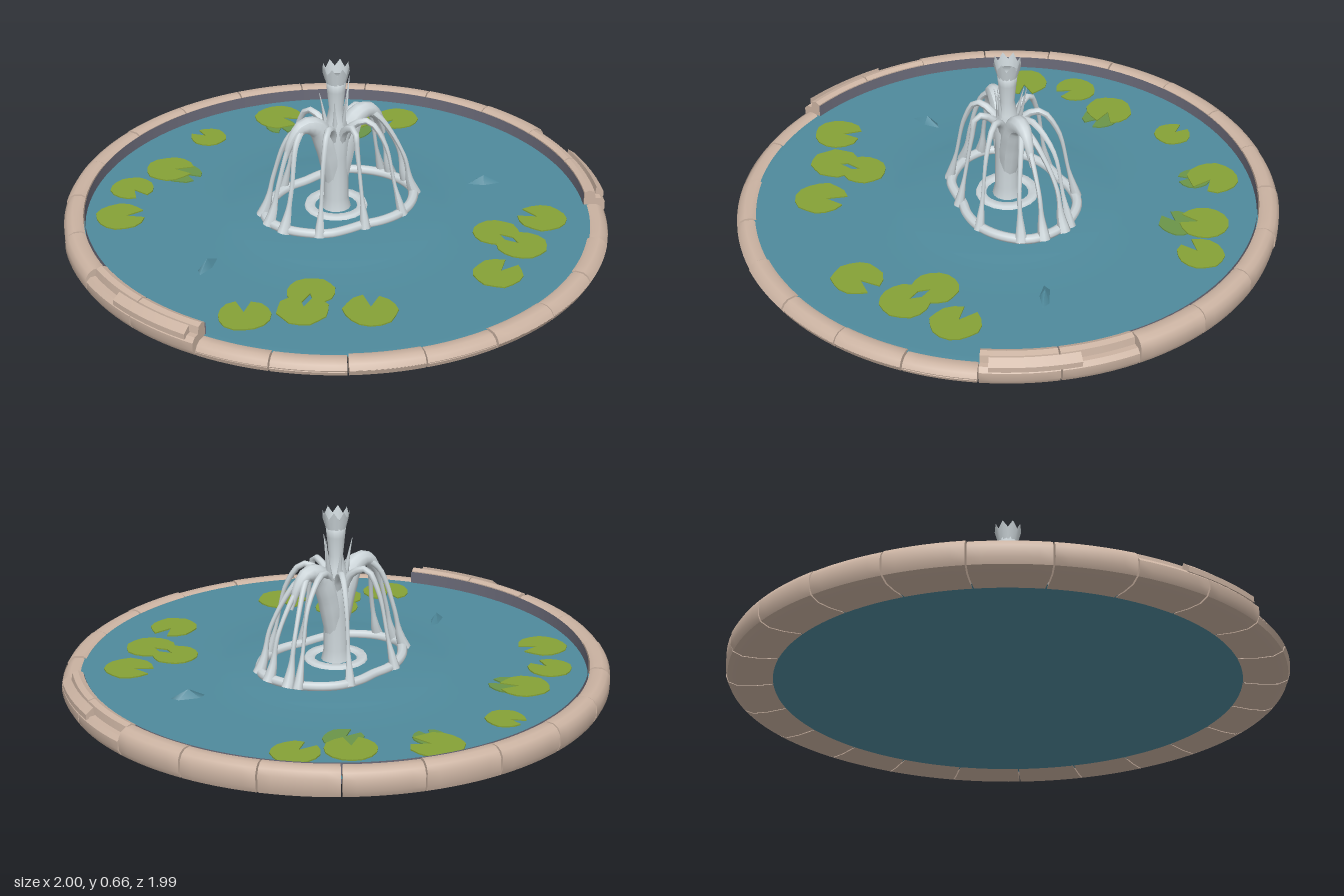
import * as THREE from 'three';
import { toCreasedNormals } from 'three/addons/utils/BufferGeometryUtils.js';

const mat = (name, color, side = THREE.FrontSide) => {
  const m = new THREE.MeshStandardMaterial({ color, side });
  m.name = name;
  return m;
};
const DEG = Math.PI / 180;
let seed = 7;
const rand = () => (seed = (seed * 16807) % 2147483647) / 2147483647;
const v3 = (x, y, z) => new THREE.Vector3(x, y, z);
const v2 = (list) => list.map(([x, y]) => new THREE.Vector2(x, y));

// Sweep a closed (radius, height) profile around the y axis from a0 to a1, with end caps
function arcStone(profile, a0, a1, steps = 6) {
  const n = profile.length, pos = [], idx = [];
  for (let s = 0; s <= steps; s++) {
    const a = a0 + (a1 - a0) * s / steps;
    for (const [r, y] of profile) pos.push(r * Math.cos(a), y, r * Math.sin(a));
  }
  for (let s = 0; s < steps; s++) for (let i = 0; i < n; i++) {
    const A = s * n + i, B = s * n + (i + 1) % n, C = B + n, D = A + n;
    idx.push(A, B, C, A, C, D);
  }
  for (const [a, b, c] of THREE.ShapeUtils.triangulateShape(v2(profile), [])) {
    idx.push(a, c, b, a + steps * n, b + steps * n, c + steps * n);
  }
  const g = new THREE.BufferGeometry();
  g.setAttribute('position', new THREE.Float32BufferAttribute(pos, 3));
  g.setIndex(idx);
  return toCreasedNormals(g, 0.55);
}

// Tube along a curve whose radius runs through a list of values
function taperTube(points, radii, seg = 18, sides = 8) {
  const curve = new THREE.CatmullRomCurve3(points);
  const g = new THREE.TubeGeometry(curve, seg, 1, sides, false);
  const p = g.attributes.position, v = v3(0, 0, 0);
  for (let i = 0; i < p.count; i++) {
    const u = Math.floor(i / (sides + 1)) / seg, c = curve.getPointAt(u);
    const t = u * (radii.length - 1), k = Math.min(Math.floor(t), radii.length - 2);
    const r = THREE.MathUtils.lerp(radii[k], radii[k + 1], t - k);
    v.fromBufferAttribute(p, i).sub(c).multiplyScalar(r).add(c);
    p.setXYZ(i, v.x, v.y, v.z);
  }
  g.computeVertexNormals();
  return g;
}

// Notched leaf disc with a slightly uneven edge
function padGeometry(r, notch) {
  const pts = [new THREE.Vector2(0.2 * r * Math.cos(notch), 0.2 * r * Math.sin(notch))];
  for (let i = 0; i <= 14; i++) {
    const a = notch + 0.3 + (Math.PI * 2 - 0.6) * i / 14, k = r * (0.94 + 0.1 * rand());
    pts.push(new THREE.Vector2(k * Math.cos(a), k * Math.sin(a)));
  }
  const g = new THREE.ExtrudeGeometry(new THREE.Shape(pts), { depth: 0.005, bevelEnabled: false });
  return g.rotateX(Math.PI / 2);
}

export function createModel() {
  const stone = mat('stone', 0xcbb3a2);
  const wallMat = mat('innerWall', 0x6a6a78, THREE.DoubleSide);
  const water = mat('water', 0x4f8a9c);
  const spray = mat('spray', 0xccd5d9, THREE.DoubleSide);
  const leaf = mat('leaf', 0x86a236);
  const wetLeaf = mat('submergedLeaf', 0x6b9549);
  const model = new THREE.Group();
  const add = (name, geo, material, parent = model) => {
    const m = new THREE.Mesh(geo, material);
    m.name = name;
    parent.add(m);
    return m;
  };

  // Rim of separate stones: tall around the back, low at the front
  const rim = new THREE.Group();
  rim.name = 'rim';
  model.add(rim);
  const rimProfile = (top, k) => [[0.83, 0.012], [0.9, 0.004], [0.955, 0.004], [0.988, 0.018], [k, 0.04],
    [k, top - 0.03], [k - 0.012, top - 0.01], [k - 0.03, top], [0.94, top], [0.925, top - 0.008], [0.922, 0.03]];
  // Broken stones have a ledge along the outside
  const ledgeProfile = [[0.83, 0.012], [0.9, 0.004], [0.955, 0.004], [0.988, 0.018], [1, 0.04], [1, 0.07],
    [0.985, 0.085], [0.965, 0.085], [0.96, 0.112], [0.94, 0.118], [0.922, 0.11], [0.922, 0.03]];
  const ring = (from, to, count, top, name) => {
    for (let i = 0; i < count; i++) {
      const step = (to - from) / count * DEG, a = from * DEG + i * step;
      const broken = name === 'tallStone' && (i < 2 || i > count - 3);
      const prof = broken ? ledgeProfile : rimProfile(top + (rand() - 0.5) * 0.007, 0.994 + rand() * 0.006);
      add(name, arcStone(prof, a + 0.003, a + step - 0.003), stone, rim);
    }
  };
  ring(101, 340, 15, 0.112, 'tallStone');
  ring(-20, 101, 8, 0.066, 'lowStone');
  // Loose slabs beside the two breaks
  for (const [a, b] of [[103, 122], [-40, -22]]) {
    add('looseSlab', arcStone([[0.968, 0.08], [1, 0.075], [1, 0.095], [0.972, 0.116]], a * DEG, b * DEG), stone, rim);
  }
  // Dark inner face of the tall stones; lathe angles run the other way round
  add('innerWall', new THREE.LatheGeometry(v2([[0.919, 0.03], [0.92, 0.107]]), 72, -250 * DEG, 239 * DEG), wallMat, rim);

  // Water surface, gently raised under the fountain, and its underside
  const surface = [[0.94, 0.058], [0.91, 0.062], [0.86, 0.059], [0.6, 0.06], [0.45, 0.063], [0.4, 0.07], [0.3, 0.08], [0.12, 0.088], [0, 0.088]];
  add('waterSurface', new THREE.LatheGeometry(v2(surface), 72), water);
  add('poolBottom', new THREE.CircleGeometry(0.86, 64).rotateX(Math.PI / 2).translate(0, 0.013, 0), water);
  for (const [x, z, a] of [[0.47, -0.37, 0.4], [-0.32, 0.5, 1.4]]) {
    const s = add('splash', new THREE.ConeGeometry(0.07, 0.035, 5), water);
    s.scale.z = 0.3;
    s.position.set(x, 0.075, z);
    s.rotation.y = a;
  }

  // Lily pads: x, z, radius, notch direction in degrees, submerged flag
  const pads = [
    [0.74, -0.16, 0.09, 190], [0.6, -0.01, 0.085, 30], [0.71, 0.05, 0.09, 210], [0.67, 0.26, 0.09, -70],
    [0.08, 0.56, 0.085, 80], [0.09, 0.68, 0.09, 260], [0.31, 0.615, 0.095, 255], [-0.09, 0.77, 0.09, 250],
    [-0.74, 0.28, 0.09, -30], [-0.78, 0.07, 0.08, 40], [-0.7, -0.11, 0.09, -10], [-0.64, -0.1, 0.07, 20, 1],
    [-0.65, -0.4, 0.07, 200], [-0.44, -0.645, 0.095, 10], [-0.41, -0.58, 0.06, 60, 1],
    [-0.16, -0.715, 0.09, 80], [-0.12, -0.63, 0.07, 120, 1], [0.02, -0.77, 0.085, 120]];
  for (const [x, z, r, notch, wet] of pads) {
    const p = add('lilyPad', padGeometry(r, notch * DEG), wet ? wetLeaf : leaf);
    p.position.set(x, wet ? 0.066 : 0.07, z);
  }

  // Fountain column and the flared, jagged crown on top
  const fountain = new THREE.Group();
  fountain.name = 'fountain';
  model.add(fountain);
  add('column', new THREE.LatheGeometry(v2([[0.055, 0.085], [0.045, 0.13], [0.044, 0.3], [0.05, 0.39],
    [0.036, 0.44], [0.026, 0.49], [0.033, 0.56], [0.038, 0.61], [0, 0.6]]), 14), spray, fountain);
  const crown = new THREE.CylinderGeometry(0.049, 0.036, 0.07, 16, 1, true);
  const cp = crown.attributes.position;
  for (let i = 0; i <= 16; i++) if (i % 2) cp.setY(i, cp.getY(i) - 0.028);
  add('crown', crown.translate(0, 0.627, 0), spray, fountain);

  // A point at angle a (degrees), distance r from the column, height y
  const polar = (a, r, y) => v3(r * Math.cos(a * DEG), y, r * Math.sin(a * DEG));
  // Distance from the column at which falling water meets the pool ring
  const ringRadius = (a) => 0.255 + 0.045 * Math.cos(2 * (a + 50) * DEG) - 0.025 * Math.sin(a * DEG);

  // Two thick arching jets, each breaking into thin falling strands
  for (const a of [-50, 133]) {
    add('thickJet', taperTube([polar(a, 0.01, 0.2), polar(a, 0.035, 0.33), polar(a, 0.08, 0.43), polar(a, 0.135, 0.448),
      polar(a, 0.185, 0.4), polar(a, 0.21, 0.33)], [0.035, 0.042, 0.042, 0.034, 0.02, 0.006], 20, 10), spray, fountain);
    for (const d of [-16, 0, 15]) {
      const R = ringRadius(a + d);
      add('strand', taperTube([polar(a, 0.13, 0.455), polar(a + d * 0.6, 0.185, 0.4), polar(a + d, R - 0.045, 0.25),
        polar(a + d, R - 0.02, 0.14), polar(a + d, R, 0.085)], [0.014, 0.01, 0.008, 0.009, 0.024]), spray, fountain);
    }
  }
  // Thin arching jets between them
  for (const a of [-2, 40, 88, 195, 250, 287]) {
    const R = ringRadius(a);
    add('thinJet', taperTube([polar(a, 0.02, 0.34), polar(a, 0.06, 0.425), polar(a, 0.12, 0.45), polar(a, R * 0.72, 0.37),
      polar(a, R * 0.88, 0.2), polar(a, R, 0.085)], [0.018, 0.014, 0.01, 0.007, 0.007, 0.02]), spray, fountain);
  }
  // Upright wisps around the crown
  for (const [a, r, h] of [[20, 0.05, 0.56], [160, 0.06, 0.55], [-75, 0.09, 0.58], [240, 0.06, 0.54], [80, 0.05, 0.53]]) {
    add('wisp', taperTube([polar(a, r * 0.6, 0.42), polar(a, r * 0.8, 0.49), polar(a, r, h)], [0.012, 0.005, 0.001], 6, 5), spray, fountain);
  }

  // Foam where the water lands: an uneven outer ring and an inner collar
  const foam = [];
  for (let i = 0; i < 18; i++) foam.push(polar(i * 20, ringRadius(i * 20) - 0.012 + (rand() - 0.5) * 0.014, 0));
  const foamRing = add('foamRing', new THREE.TubeGeometry(new THREE.CatmullRomCurve3(foam, true), 72, 0.019, 8, true), spray, fountain);
  foamRing.scale.y = 0.9;
  foamRing.position.y = 0.092;
  add('foamCollar', new THREE.LatheGeometry(v2([[0.118, 0.084], [0.112, 0.099], [0.085, 0.1], [0.075, 0.084]]), 20), spray, fountain);
  return model;
}
